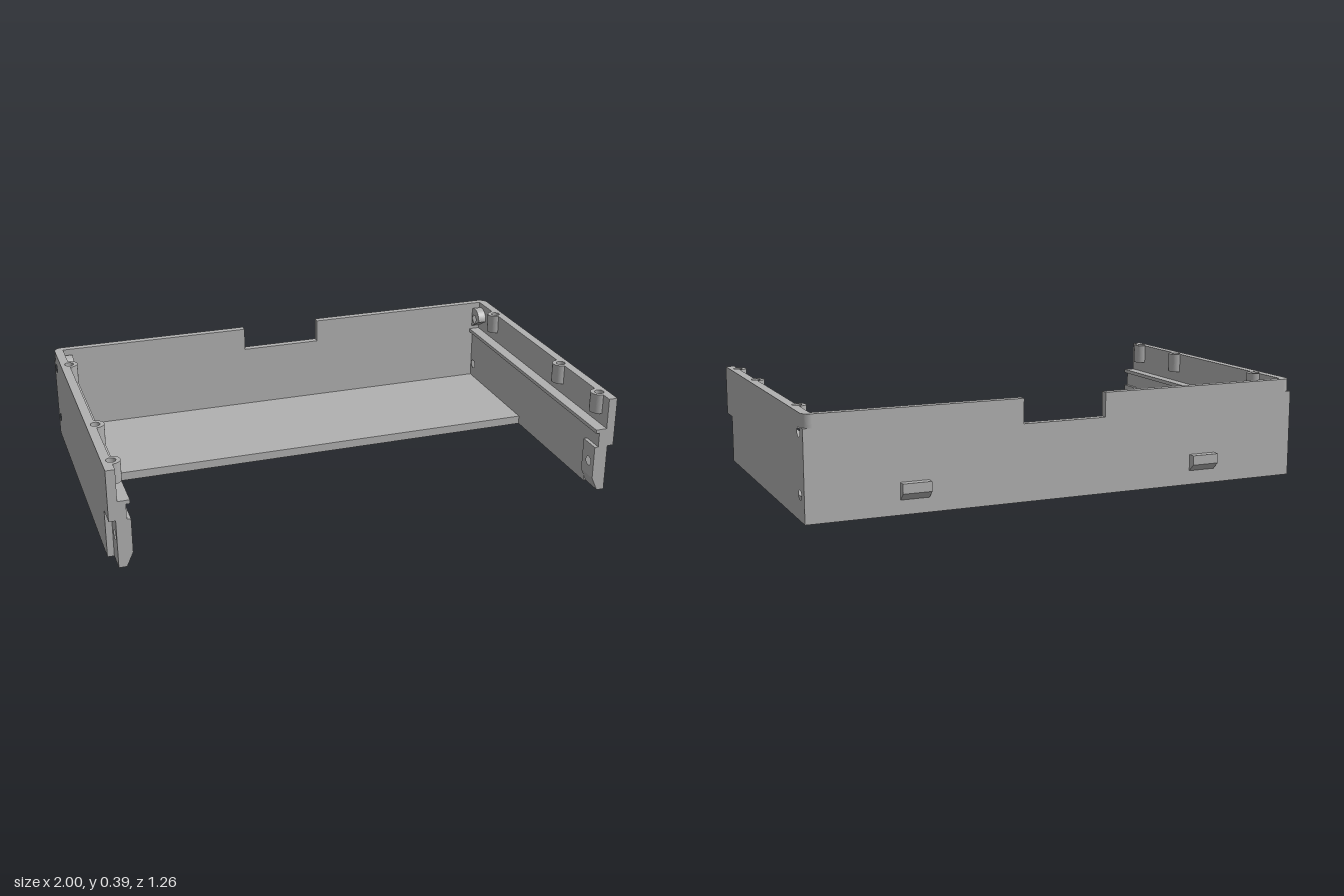
import * as THREE from 'three';

const casing = new THREE.MeshStandardMaterial({ color: 0xb0b0b0 });
casing.name = 'greyPlastic';

// Outline given as [z, y] points, with optional round holes [z, y, radius]
function sideShape(points, holes = []) {
  const s = new THREE.Shape(points.map(([z, y]) => new THREE.Vector2(-z, y)));
  for (const [z, y, r] of holes) s.holes.push(new THREE.Path().absarc(-z, y, r, 0, Math.PI * 2, true));
  return s;
}

// Extrude a side shape across x
function acrossX(shape, x0, x1) {
  const g = new THREE.ExtrudeGeometry(shape, { depth: x1 - x0, bevelEnabled: false, curveSegments: 16 });
  return g.rotateY(Math.PI / 2).translate(x0, 0, 0);
}

const rect = (z0, z1, y0, y1) => [[z0, y0], [z1, y0], [z1, y1], [z0, y1]];

function box(x0, x1, y0, y1, z0, z1) {
  return new THREE.BoxGeometry(x1 - x0, y1 - y0, z1 - z0)
    .translate((x0 + x1) / 2, (y0 + y1) / 2, (z0 + z1) / 2);
}

// Flip to the other side in x and restore the triangle winding
function mirrored(geometry) {
  const g = geometry.index ? geometry.toNonIndexed() : geometry.clone();
  for (const key of ['position', 'normal']) {
    const a = g.attributes[key];
    for (let i = 0; i < a.count; i += 3) {
      const v = [0, 2, 1].map(k => new THREE.Vector3().fromBufferAttribute(a, i + k));
      v.forEach((p, k) => a.setXYZ(i + k, -p.x, p.y, p.z));
    }
  }
  return g;
}

export function createModel() {
  const model = new THREE.Group();
  model.name = 'openTray';
  const add = (name, geometry) => {
    const mesh = new THREE.Mesh(geometry, casing);
    mesh.name = name;
    model.add(mesh);
  };
  const addPair = (name, geometry) => {
    add('left' + name, geometry);
    add('right' + name, mirrored(geometry));
  };

  const layer = 0.34, top = 0.39, notch = 0.168;
  const bossZ = [-0.4, 0.23, 0.55], bossX = 0.965, bossR = 0.034;

  // Floor and back wall below the notch
  add('floor', box(-0.94, 0.94, 0, 0.035, -0.58, -0.05));
  add('backWall', box(-0.99, 0.99, 0, 0.295, -0.6, -0.57));
  addPair('BackWallUpper', box(notch, 0.99, 0.295, layer, -0.6, -0.57));

  // Side walls: thick lower part, thin upper part, inner ledge
  addPair('WallLower', acrossX(sideShape(
    [[-0.6, 0], [0.54, 0], [0.54, 0.19], [0.63, 0.19], [0.63, 0.25], [-0.6, 0.25]],
    [[-0.545, 0.095, 0.018]]), 0.935, 1));
  addPair('WallUpper', acrossX(sideShape(rect(-0.6, 0.63, 0.25, layer),
    [[-0.545, 0.32, 0.018]]), 0.965, 1));
  addPair('Ledge', box(0.92, 0.97, 0.25, 0.265, -0.57, 0.63));

  // Top rim with rounded back corner and drilled screw bosses
  const rim = new THREE.Shape();
  rim.moveTo(notch, 0.57);
  rim.lineTo(bossX, 0.57);
  for (const z of bossZ) rim.absarc(bossX, -z, bossR, Math.PI / 2, Math.PI * 1.5, false);
  rim.lineTo(bossX, -0.63);
  rim.lineTo(1, -0.63);
  rim.absarc(0.965, 0.565, 0.035, 0, Math.PI / 2, false);
  rim.lineTo(notch, 0.6);
  for (const z of bossZ) {
    rim.holes.push(new THREE.Path().absarc(bossX, -z, 0.018, 0, Math.PI * 2, true));
  }
  addPair('Rim', new THREE.ExtrudeGeometry(rim, { depth: top - layer, bevelEnabled: false, curveSegments: 16 })
    .rotateX(-Math.PI / 2).translate(0, layer, 0));
  for (const z of bossZ) {
    addPair('ScrewBoss', new THREE.CylinderGeometry(bossR, bossR, 0.03, 24).translate(bossX, 0.325, z));
  }

  // Arched lug around the upper rear hole
  const lug = new THREE.Shape();
  lug.moveTo(0.495, 0.265);
  lug.absarc(0.545, 0.32, 0.05, Math.PI, 0, true);
  lug.lineTo(0.595, 0.265);
  lug.holes.push(new THREE.Path().absarc(0.545, 0.32, 0.018, 0, Math.PI * 2, true));
  addPair('RearLug', acrossX(lug, 0.93, 0.965));

  // Recessed front tab with a screw hole and a chamfered foot
  addPair('FrontTab', acrossX(sideShape(rect(0.54, 0.63, 0.055, 0.19), [[0.59, 0.115, 0.018]]), 0.92, 0.975));
  const foot = new THREE.Shape([[0.945, 0], [0.975, 0], [0.975, 0.055], [0.92, 0.055]]
    .map(([x, y]) => new THREE.Vector2(x, y)));
  addPair('FrontTabFoot', new THREE.ExtrudeGeometry(foot, { depth: 0.09, bevelEnabled: false })
    .translate(0, 0, 0.54));

  // Snap hooks on the back
  addPair('SnapHook', acrossX(sideShape(
    [[-0.6, 0.055], [-0.6, 0.12], [-0.63, 0.12], [-0.63, 0.083]]), 0.54, 0.65));

  return model;
}
